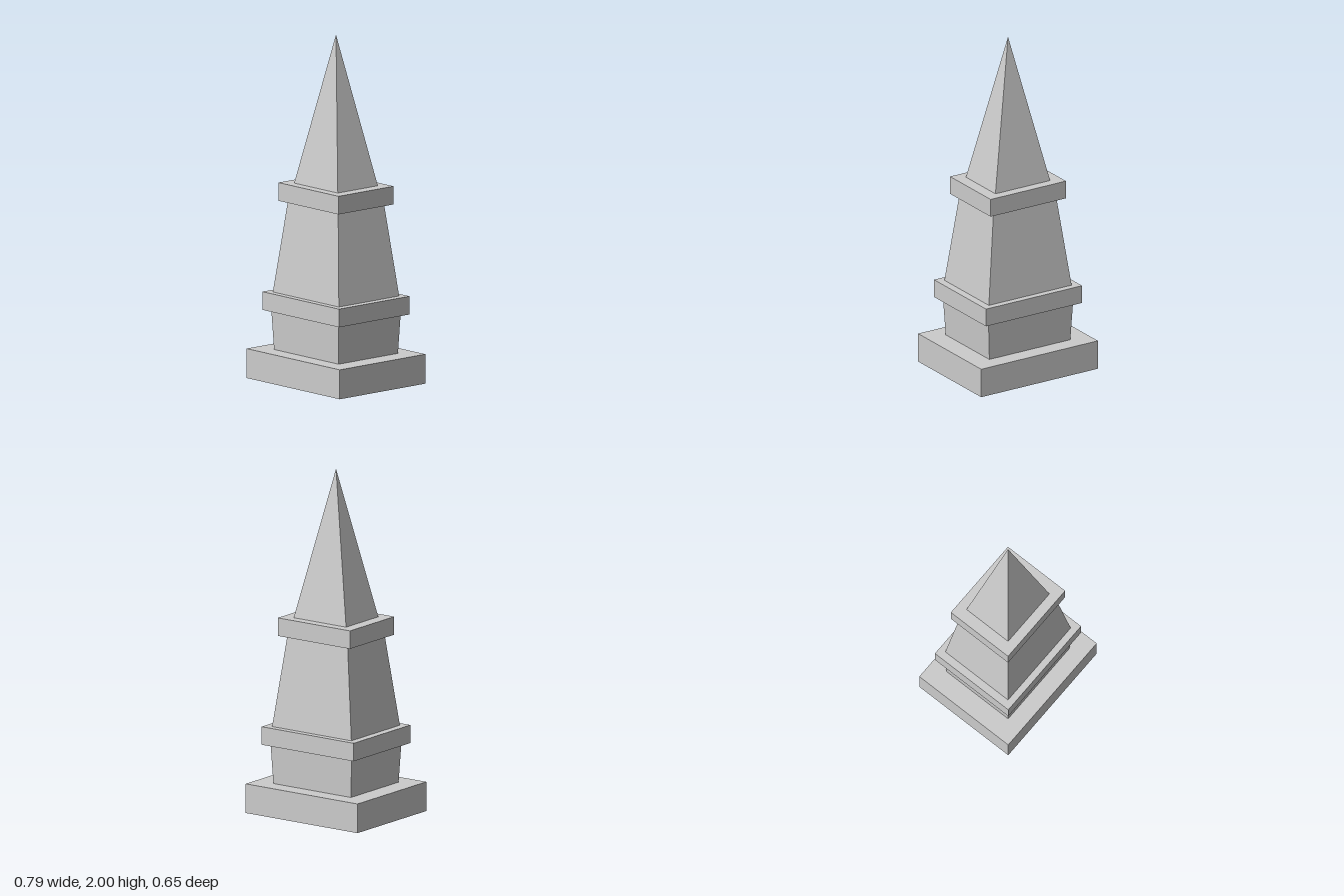
import * as THREE from 'three';

const material = new THREE.MeshStandardMaterial({ color: 0xcccccc, flatShading: true });

// Four-sided block between two heights; half sizes in x at the bottom and top, half depth at the bottom.
function block(name, y0, y1, bottom, top, depth) {
  const height = y1 - y0;
  const geometry = new THREE.CylinderGeometry(top * Math.SQRT2, bottom * Math.SQRT2, height, 4);
  geometry.rotateY(Math.PI / 4);
  geometry.scale(1, 1, depth / bottom);
  geometry.translate(0, y0 + height / 2, 0);
  const mesh = new THREE.Mesh(geometry, material);
  mesh.name = name;
  return mesh;
}

export function createModel() {
  const group = new THREE.Group();
  group.name = 'obelisk';
  group.add(
    // Stepped base
    block('plinth', 0, 0.17, 0.395, 0.395, 0.325),
    block('pedestal', 0.17, 0.397, 0.274, 0.286, 0.225),
    block('lowerBand', 0.397, 0.502, 0.325, 0.325, 0.268),
    // Tapered shaft and its cap
    block('shaft', 0.502, 1.03, 0.28, 0.213, 0.229),
    block('upperBand', 1.03, 1.135, 0.255, 0.255, 0.209),
    // Pointed top
    block('spire', 1.135, 2, 0.185, 0, 0.152),
  );
  return group;
}
